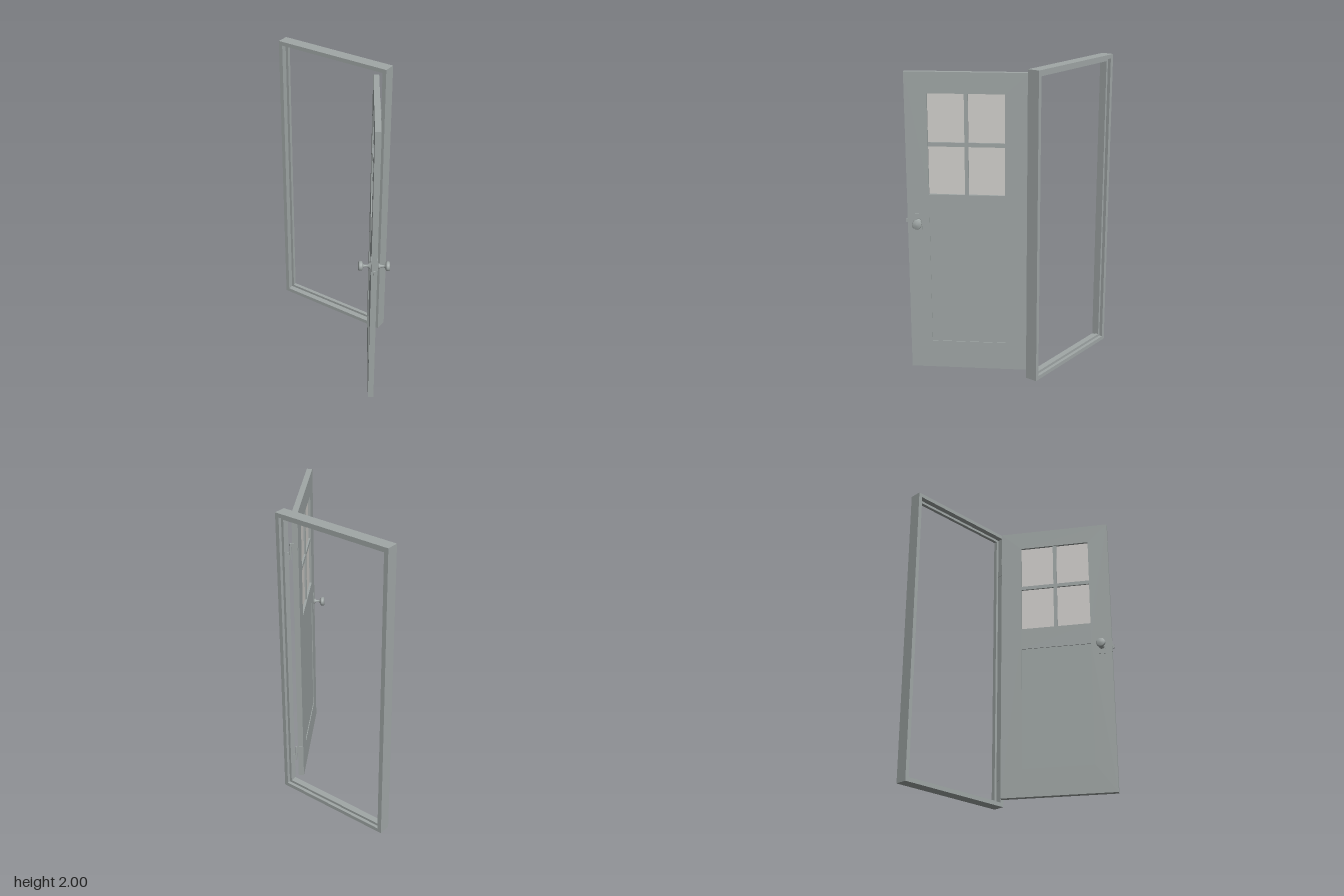
import * as THREE from 'three';

const paint = new THREE.MeshStandardMaterial({ color: 0xa0a7a6 });
paint.name = 'grey paint';
const pane = new THREE.MeshStandardMaterial({ color: 0xd2d0cd });
pane.name = 'pale glass';

function add(parent, name, geometry, material, x = 0, y = 0, z = 0) {
  const mesh = new THREE.Mesh(geometry, material);
  mesh.name = name;
  mesh.position.set(x, y, z);
  parent.add(mesh);
  return mesh;
}

// Box given by its lower and upper limits on each axis
function box(parent, name, [x0, x1], [y0, y1], [z0, z1], material = paint) {
  return add(parent, name, new THREE.BoxGeometry(x1 - x0, y1 - y0, z1 - z0), material,
    (x0 + x1) / 2, (y0 + y1) / 2, (z0 + z1) / 2);
}

function rect(Type, x0, x1, y0, y1) {
  return new Type([[x0, y0], [x1, y0], [x1, y1], [x0, y1]].map(p => new THREE.Vector2(...p)));
}

// Flat board with rectangular openings, from z0 to z1
function board(parent, name, outer, holes, z0, z1) {
  const shape = rect(THREE.Shape, ...outer);
  holes.forEach(h => shape.holes.push(rect(THREE.Path, ...h)));
  return add(parent, name,
    new THREE.ExtrudeGeometry(shape, { depth: z1 - z0, bevelEnabled: false }), paint, 0, 0, z0);
}

// Door frame: rebated ring with a projecting stop in the middle
function buildFrame() {
  const frame = new THREE.Group();
  frame.name = 'doorFrame';
  const ring = (name, w, z0, z1) =>
    board(frame, name, [-0.612, 0.198, 0, 2], [[-0.612 + w, 0.198 - w, w, 2 - w]], z0, z1);
  ring('frameBack', 0.026, -0.385, -0.364);
  ring('frameStop', 0.043, -0.364, -0.342);
  ring('frameRebate', 0.026, -0.342, -0.305);
  return frame;
}

// One knob with its plate, pointing along +z or -z
function buildHandle(side) {
  const handle = new THREE.Group();
  handle.name = side > 0 ? 'frontHandle' : 'backHandle';
  box(handle, 'handlePlate', [-0.022, 0.022], [-0.053, 0.053], [0.016, 0.022]);
  const profile = [[0, 0.02], [0.02, 0.02], [0.018, 0.03], [0.009, 0.037], [0.007, 0.055],
    [0.011, 0.066], [0.026, 0.071], [0.03, 0.076], [0.03, 0.088], [0.026, 0.095], [0, 0.097]];
  const knob = add(handle, 'knob',
    new THREE.LatheGeometry(profile.map(p => new THREE.Vector2(...p)), 24), paint);
  knob.rotation.x = Math.PI / 2;
  if (side < 0) handle.rotation.y = Math.PI;
  return handle;
}

// Door leaf: local x runs from the hinge edge to the latch edge
function buildDoor() {
  const door = new THREE.Group();
  door.name = 'door';
  const T = 0.018, x0 = 0.14, x1 = 0.612;
  board(door, 'doorLeaf', [0, 0.75, 0.035, 1.97],
    [[x0, x1, 0.22, 1.06], [x0, x1, 1.21, 1.84]], -T, T);
  box(door, 'lowerPanel', [x0, x1], [0.22, 1.06], [-0.013, 0.013]);
  box(door, 'windowGlass', [x0, x1], [1.21, 1.84], [-0.003, 0.003], pane);

  // Glazing bars
  box(door, 'verticalBar', [0.364, 0.388], [1.21, 1.84], [-0.014, 0.014]);
  box(door, 'horizontalBar', [x0, x1], [1.513, 1.539], [-0.0138, 0.0138]);

  // Handles and latch
  for (const side of [1, -1]) {
    const handle = buildHandle(side);
    handle.position.set(0.682, 1.032, 0);
    door.add(handle);
  }
  box(door, 'latchPlate', [0.749, 0.752], [0.995, 1.069], [-0.01, 0.01]);
  box(door, 'latchBolt', [0.74, 0.763], [1.02, 1.044], [-0.006, 0.006]);

  // Upper hinge halves, fixed to the door edge
  for (const y of [0.225, 1.725]) {
    box(door, 'doorHingeLeaf', [-0.003, 0.001], [y, y + 0.053], [-0.026, 0.012]);
  }
  door.position.set(0.146, 0, -0.274);
  door.rotation.y = -THREE.MathUtils.degToRad(57.2);
  return door;
}

// Lower hinge halves on the frame, with the pins
function buildHinges() {
  const hinges = new THREE.Group();
  hinges.name = 'hinges';
  for (const y of [0.225, 1.725]) {
    box(hinges, 'frameHingeLeaf', [0.169, 0.173], [y - 0.053, y], [-0.338, -0.294]);
    add(hinges, 'hingePin', new THREE.CylinderGeometry(0.006, 0.006, 0.106, 12), paint,
      0.168, y, -0.294);
  }
  return hinges;
}

export function createModel() {
  const model = new THREE.Group();
  model.name = 'openDoor';
  model.add(buildFrame(), buildDoor(), buildHinges());
  return model;
}
